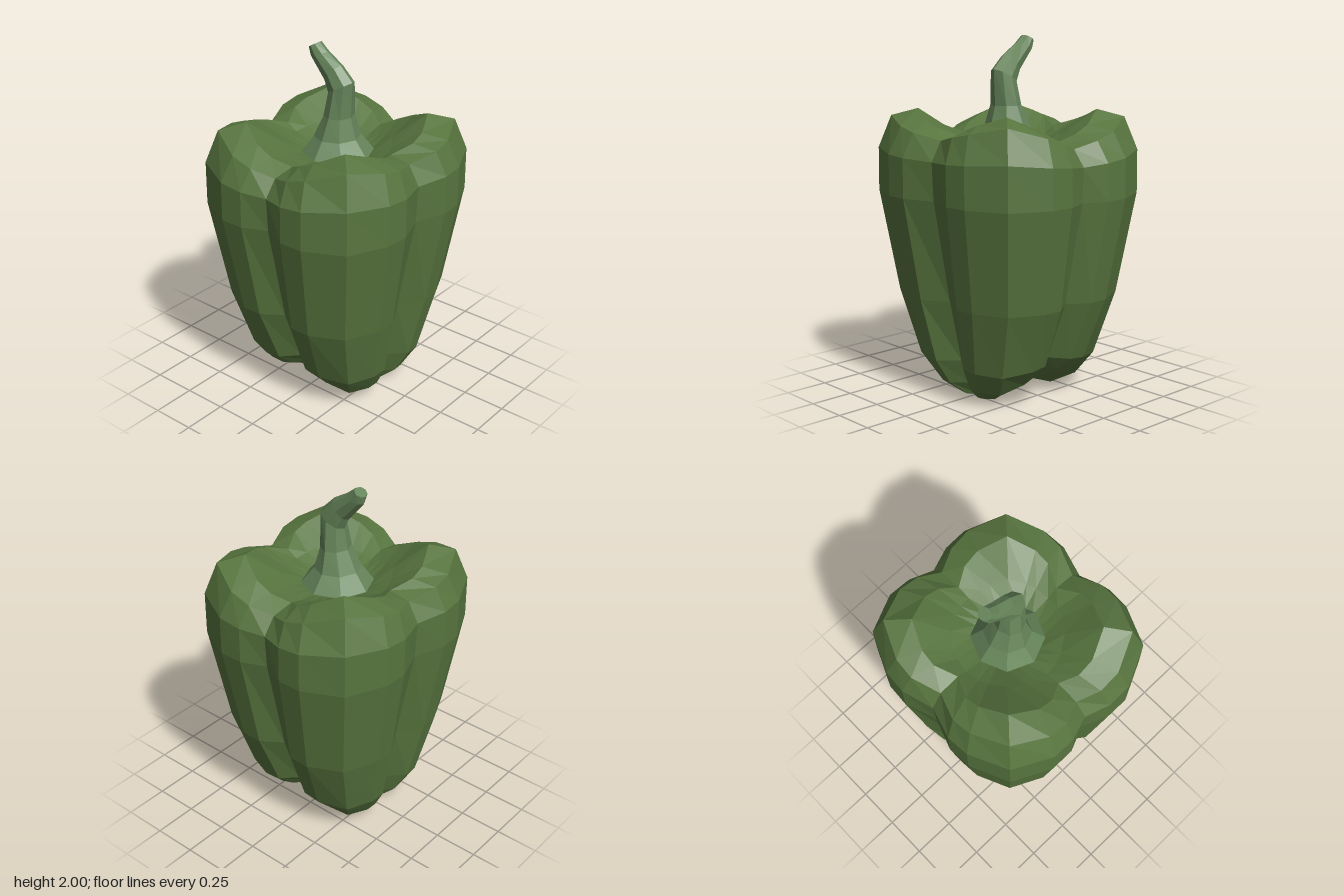
import * as THREE from 'three';

const lerp = THREE.MathUtils.lerp;

// Skin a stack of closed rings (listed top to bottom) and close both ends at a point.
function loft(rings, top, bottom) {
  const n = rings[0].length;
  const pos = [...top, ...rings.flat(2), ...bottom];
  const last = rings.length * n + 1;
  const id = (r, j) => 1 + r * n + (j % n);
  const index = [];
  for (let j = 0; j < n; j++) {
    index.push(0, id(0, j), id(0, j + 1));
    for (let r = 0; r < rings.length - 1; r++) {
      const a = id(r, j), b = id(r, j + 1), c = id(r + 1, j), d = id(r + 1, j + 1);
      index.push(a, c, d, a, d, b);
    }
    index.push(last, id(rings.length - 1, j + 1), id(rings.length - 1, j));
  }
  const geo = new THREE.BufferGeometry();
  geo.setAttribute('position', new THREE.Float32BufferAttribute(pos, 3));
  geo.setIndex(index);
  const flat = geo.toNonIndexed();
  flat.computeVertexNormals();
  return flat;
}

// One lobe of the unit cross-section, from the front groove round to the side groove.
const LOBE = [[0, 0.925], [0.23, 1], [0.46, 1], [0.82, 0.835], [0.985, 0.49], [1, 0.28], [0.91, 0]];

// Ring of four lobes; height dips linearly from each lobe corner to its grooves.
function bodyRing([sx, sz, yLobe, yFront, ySide, groove, round]) {
  const lobe = LOBE.map(([x, z], i) => {
    const k = i % 6 === 0 ? groove : 1;
    const len = Math.hypot(x, z);
    const y = i <= 3 ? lerp(yFront, yLobe, x / 0.82) : lerp(ySide, yLobe, z / 0.835);
    return [lerp(x * k, x / len, round) * sx, y, lerp(z * k, z / len, round) * sz];
  });
  const forward = lobe.slice(0, 6), backward = lobe.slice(1).reverse();
  const flip = (pts, fx, fz) => pts.map(([x, y, z]) => [x * fx, y, z * fz]);
  return [...forward, ...flip(backward, 1, -1), ...flip(forward, -1, -1), ...flip(backward, -1, 1)];
}

// Stem ring spanning a left and a right point, with its half depth in z.
function stemRing([lx, ly, rx, ry, depth]) {
  return Array.from({ length: 8 }, (_, j) => {
    const a = (j / 8) * Math.PI * 2;
    const t = (Math.sin(a) + 1) / 2;
    return [lerp(lx, rx, t), lerp(ly, ry, t), Math.cos(a) * depth];
  });
}

export function createModel() {
  const group = new THREE.Group();
  group.name = 'bellPepper';
  const add = (name, geo, color) => {
    const mesh = new THREE.Mesh(geo, new THREE.MeshStandardMaterial({ color, flatShading: true }));
    mesh.name = name;
    group.add(mesh);
  };

  // Body: half width, half depth, lobe / front groove / side groove heights, groove scale, roundness
  const body = [
    [0.18, 0.18, 1.40, 1.40, 1.40, 1, 1],
    [0.30, 0.30, 1.47, 1.42, 1.44, 1, 1],
    [0.415, 0.43, 1.60, 1.44, 1.48, 0.95, 0],
    [0.54, 0.565, 1.56, 1.42, 1.46, 0.98, 0],
    [0.60, 0.632, 1.38, 1.33, 1.35, 1, 0],
    [0.60, 0.635, 1.14, 1.14, 1.14, 0.98, 0],
    [0.51, 0.54, 0.57, 0.57, 0.57, 0.92, 0],
    [0.435, 0.41, 0.20, 0.24, 0.22, 0.87, 0],
    [0.36, 0.31, 0.07, 0.17, 0.08, 0.87, 0],
    [0.27, 0.16, 0.0, 0.10, 0.0, 0.9, 0],
  ];
  add('pepperBody', loft(body.map(bodyRing), [0, 1.4, 0], [0, 0.07, 0]), 0x58753f);

  // Stem: bent tip down to the flared base
  const stem = [
    [-0.185, 1.965, -0.125, 2.0, 0.04],
    [-0.175, 1.92, -0.07, 1.955, 0.045],
    [-0.075, 1.80, 0.02, 1.90, 0.055],
    [-0.05, 1.74, 0.10, 1.82, 0.066],
    [-0.07, 1.62, 0.09, 1.62, 0.092],
    [-0.13, 1.50, 0.125, 1.50, 0.132],
    [-0.20, 1.41, 0.20, 1.41, 0.20],
  ];
  add('stem', loft(stem.map(stemRing), [-0.155, 1.9825, 0], [0, 1.4, 0]), 0x66855a);

  return group;
}
